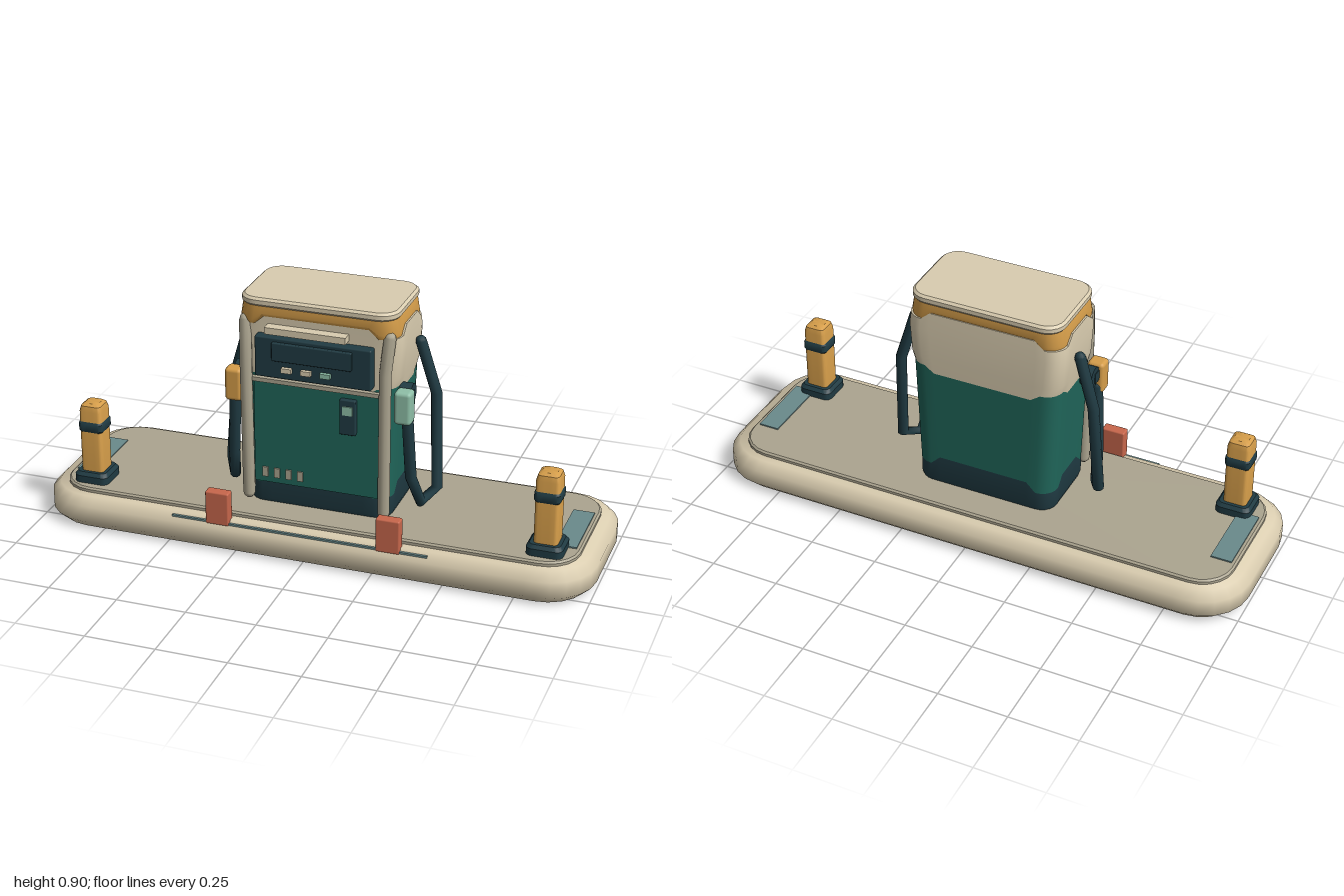
import * as THREE from 'three';
import { toCreasedNormals } from 'three/addons/utils/BufferGeometryUtils.js';
import { RoundedBoxGeometry } from 'three/addons/geometries/RoundedBoxGeometry.js';

const mat = (name, color) => {
  const m = new THREE.MeshStandardMaterial({ color });
  m.name = name;
  return m;
};

// Rounded rectangle outline, anticlockwise from above; corner points are raised by lift
function outline({ y, hx, hz, r, lift = 0, z = 0 }) {
  const pts = [];
  const ease = Math.min(0.035, (Math.min(hx, hz) - r) * 0.6);
  const N = 5;
  for (let q = 0; q < 4; q++) {
    const cx = (q === 0 || q === 3 ? 1 : -1) * (hx - r);
    const cz = (q < 2 ? -1 : 1) * (hz - r);
    for (let k = -1; k <= N + 1; k++) {
      const a = (q + Math.min(Math.max(k / N, 0), 1)) * Math.PI / 2;
      const c = Math.cos(a), s = Math.sin(a);
      // extra points beyond the arc ends keep the lift near the corner
      const e = k < 0 ? ease : k > N ? -ease : 0;
      const tx = s * e, tz = c * e;
      pts.push([cx + r * c + tx, y + (e ? 0 : lift), z + cz - r * s + tz]);
    }
  }
  return pts;
}

// Closed solid through a stack of rounded rectangles
function loft(rings, crease = 0.6) {
  const loops = rings.map(outline), n = loops[0].length, pos = loops.flat(2), idx = [];
  for (let l = 0; l < loops.length - 1; l++) {
    for (let i = 0; i < n; i++) {
      const j = (i + 1) % n, a = l * n + i, b = l * n + j;
      idx.push(a, b, b + n, a, b + n, a + n);
    }
  }
  const first = rings[0], last = rings[rings.length - 1];
  const base = loops.length * n, top = base - n;
  pos.push(0, first.y, first.z ?? 0, 0, last.y, last.z ?? 0);
  for (let i = 0; i < n; i++) {
    const j = (i + 1) % n;
    idx.push(base, j, i, base + 1, top + i, top + j);
  }
  const g = new THREE.BufferGeometry();
  g.setAttribute('position', new THREE.Float32BufferAttribute(pos, 3));
  g.setIndex(idx);
  return toCreasedNormals(g, crease);
}

// Straight-sided path with bends only at its points
class Polyline extends THREE.Curve {
  constructor(points) {
    super();
    this.points = points.map(p => new THREE.Vector3(...p));
  }
  getPoint(t, target = new THREE.Vector3()) {
    const n = this.points.length - 1, i = Math.min(Math.floor(t * n + 1e-9), n - 1);
    return target.lerpVectors(this.points[i], this.points[i + 1], t * n - i);
  }
  getPointAt(t, target) { return this.getPoint(t, target); }
  getTangentAt(t, target) { return this.getTangent(t, target); }
}

export function createModel() {
  const model = new THREE.Group();
  model.name = 'fuelPump';
  const cream = mat('cream', 0xdacdb0), stone = mat('stone', 0xaca590);
  const green = mat('green', 0x20665a), dark = mat('darkTeal', 0x203b43);
  const amber = mat('amber', 0xd69e4a), mint = mat('mint', 0x8fc0a8);
  const red = mat('red', 0xc8674c), blue = mat('greyBlue', 0x6a8a8c);

  const add = (name, geo, material, x = 0, y = 0, z = 0) => {
    const m = new THREE.Mesh(geo, material);
    m.name = name;
    m.position.set(x, y, z);
    model.add(m);
    return m;
  };
  // Box given by its x, y and z ranges
  const box = (name, material, x0, x1, y0, y1, z0, z1, round = 0) => {
    const w = x1 - x0, h = y1 - y0, d = z1 - z0;
    const g = round ? new RoundedBoxGeometry(w, h, d, 2, round) : new THREE.BoxGeometry(w, h, d);
    return add(name, g, material, (x0 + x1) / 2, (y0 + y1) / 2, (z0 + z1) / 2);
  };
  const tube = (name, material, points, r) => {
    add(name, new THREE.TubeGeometry(new Polyline(points), points.length - 1, r, 10), material);
    for (const p of [points[0], points[points.length - 1]])
      add(name + 'End', new THREE.SphereGeometry(r * 0.97, 10, 6), material, ...p);
  };

  // Island slab and raised deck
  add('islandSlab', loft([
    { y: 0, hx: 0.97, hz: 0.297, r: 0.15 },
    { y: 0.03, hx: 1, hz: 0.326, r: 0.175 },
    { y: 0.09, hx: 1, hz: 0.326, r: 0.175 },
    { y: 0.12, hx: 0.972, hz: 0.298, r: 0.15 },
  ], 0.9), cream);
  add('deck', loft([
    { y: 0.115, hx: 0.94, hz: 0.27, r: 0.12 },
    { y: 0.13, hx: 0.94, hz: 0.27, r: 0.12 },
    { y: 0.136, hx: 0.933, hz: 0.263, r: 0.113 },
  ]), stone);
  box('frontStripe', blue, -0.48, 0.45, 0.104, 0.111, 0.306, 0.315);

  // Cabinet: plinth, body, upper shell, trim band and lid
  const plinthTop = { y: 0.245, hx: 0.262, hz: 0.153, r: 0.06, lift: -0.035 };
  const bodyTop = { y: 0.6, hx: 0.277, hz: 0.156, r: 0.06, lift: 0.025 };
  const shellTop = { y: 0.84, hx: 0.29, hz: 0.156, r: 0.06, lift: -0.03, z: 0.003 };
  add('plinth', loft([
    { y: 0.13, hx: 0.255, hz: 0.147, r: 0.055 },
    { y: 0.15, hx: 0.262, hz: 0.153, r: 0.06 },
    plinthTop,
  ]), dark);
  add('body', loft([plinthTop, bodyTop]), green);
  add('upperShell', loft([
    bodyTop,
    { y: 0.66, hx: 0.287, hz: 0.157, r: 0.06 },
    { y: 0.77, hx: 0.294, hz: 0.157, r: 0.06 },
    shellTop,
  ]), cream);
  add('trimBand', loft([
    { ...shellTop, hx: 0.284, hz: 0.156, z: 0.006 },
    { y: 0.85, hx: 0.284, hz: 0.16, r: 0.06, lift: -0.025, z: 0.007 },
    { y: 0.88, hx: 0.276, hz: 0.157, r: 0.06, z: 0.007 },
  ]), amber);
  add('lid', loft([
    { y: 0.873, hx: 0.274, hz: 0.156, r: 0.06, z: 0.006 },
    { y: 0.882, hx: 0.281, hz: 0.163, r: 0.065, z: 0.006 },
    { y: 0.897, hx: 0.281, hz: 0.163, r: 0.065, z: 0.006 },
    { y: 0.905, hx: 0.272, hz: 0.154, r: 0.058, z: 0.006 },
  ]), cream);

  // Front door and fittings
  box('door', green, -0.225, 0.225, 0.218, 0.6, 0.14, 0.163);
  box('sill', stone, -0.235, 0.235, 0.6, 0.615, 0.14, 0.172);
  box('displayHousing', dark, -0.21, 0.207, 0.63, 0.778, 0.15, 0.192, 0.006);
  box('screen', dark, -0.145, 0.14, 0.698, 0.765, 0.19, 0.205, 0.004);
  box('headerPlate', cream, -0.172, 0.117, 0.79, 0.814, 0.15, 0.196);
  [-0.092, -0.022, 0.047].forEach((x, i) =>
    box('button', i === 2 ? mint : cream, x - 0.018, x + 0.018, 0.659, 0.676, 0.19, 0.206));
  box('cardReader', dark, 0.09, 0.148, 0.45, 0.58, 0.155, 0.18, 0.004);
  box('readerScreen', mint, 0.102, 0.138, 0.525, 0.557, 0.179, 0.184);
  for (let i = 0; i < 4; i++)
    box('vent', stone, -0.196 + i * 0.043, -0.176 + i * 0.043, 0.24, 0.276, 0.16, 0.169);

  for (const s of [-1, 1]) {
    // Corner posts
    tube('cornerPost', stone,
      [[s * 0.247, 0.17, 0.165], [s * 0.25, 0.69, 0.171], [s * 0.258, 0.815, 0.147]], 0.022);

    // Holster, nozzle and hose
    const holster = add('holster', new THREE.CylinderGeometry(0.036, 0.036, 0.06, 16), dark, s * 0.29, 0.592, 0.075);
    holster.rotation.z = Math.PI / 2;
    box('nozzleArm', dark, s * 0.305 - 0.018, s * 0.305 + 0.018, 0.565, 0.605, 0.07, 0.13);
    const nozzle = box('nozzle', s > 0 ? mint : amber, -0.031, 0.031, 0.505, 0.626, 0.103, 0.16, 0.014);
    nozzle.position.x = s * 0.306;
    tube('hose', dark, [
      [s * 0.312, 0.53, 0.115], [s * 0.325, 0.29, 0.105], [s * 0.345, 0.175, 0.05],
      [s * 0.383, 0.205, -0.02], [s * 0.367, 0.55, -0.046], [s * 0.31, 0.74, -0.038],
    ], 0.02);

    // Bollards with foot and band
    const bx = s * 0.83, bz = 0.173;
    add('bollard', loft([
      { y: 0.14, hx: 0.042, hz: 0.042, r: 0.014 },
      { y: 0.405, hx: 0.042, hz: 0.042, r: 0.014 },
      { y: 0.425, hx: 0.037, hz: 0.037, r: 0.014 },
      { y: 0.433, hx: 0.026, hz: 0.026, r: 0.012 },
    ]), amber, bx, 0, bz);
    add('bollardFoot', loft([
      { y: 0.132, hx: 0.064, hz: 0.064, r: 0.024 },
      { y: 0.162, hx: 0.064, hz: 0.064, r: 0.024 },
      { y: 0.175, hx: 0.054, hz: 0.054, r: 0.02 },
    ]), dark, bx, 0, bz);
    add('bollardBand', loft([
      { y: 0.326, hx: 0.041, hz: 0.041, r: 0.014 },
      { y: 0.334, hx: 0.046, hz: 0.046, r: 0.016 },
      { y: 0.36, hx: 0.046, hz: 0.046, r: 0.016 },
      { y: 0.368, hx: 0.041, hz: 0.041, r: 0.014 },
    ]), dark, bx, 0, bz);

    // Deck inlays and kerb markers
    box('deckInlay', blue, s * 0.885 - 0.038, s * 0.885 + 0.038, 0.133, 0.141, -0.13, 0.14);
    box('kerbMarker', red, s * 0.31 - 0.043, s * 0.31 + 0.043, 0.1, 0.225, 0.279, 0.318, 0.006);
  }
  return model;
}
